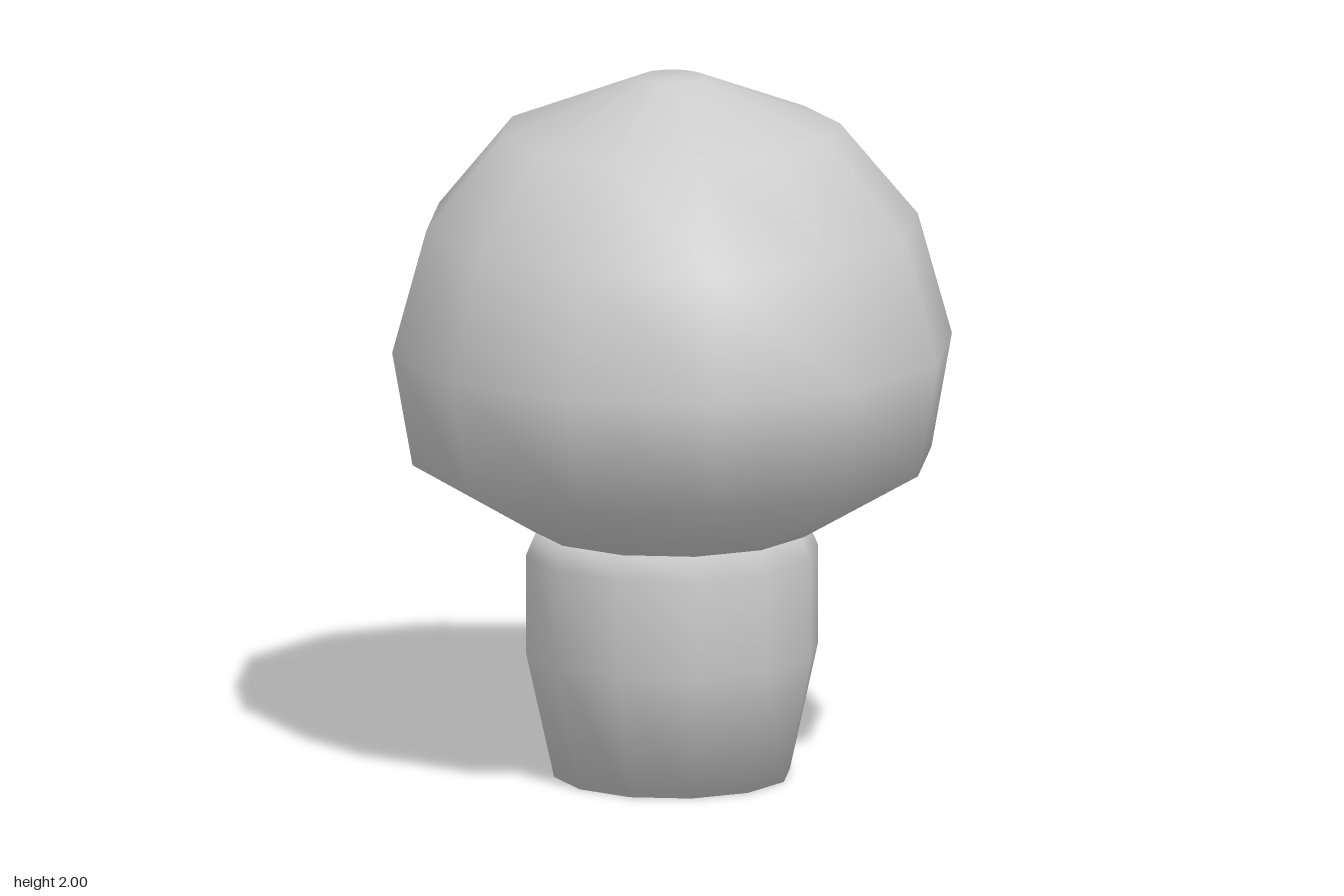
import * as THREE from 'three';

const SIDES = 12;

// Revolves a bottom-to-top [radius, height] profile into a smooth 12-sided solid
function turned(name, profile, material) {
  const points = profile.map(([r, y]) => new THREE.Vector2(r, y));
  const mesh = new THREE.Mesh(new THREE.LatheGeometry(points, SIDES), material);
  mesh.name = name;
  return mesh;
}

export function createModel() {
  const group = new THREE.Group();
  group.name = 'mushroom';
  const material = new THREE.MeshStandardMaterial({ color: 0xcccccc });

  // Stem: narrow flat foot, fuller middle, drawn in slightly under the cap
  const stem = turned('stem', [
    [0, 0], [0.335, 0], [0.415, 0.36], [0.415, 0.64], [0.38, 0.72], [0, 0.72],
  ], material);

  // Cap: rounded dome with a sloping underside and a small flat crown
  const cap = turned('cap', [
    [0, 0.708], [0.395, 0.708], [0.737, 0.91], [0.795, 1.235],
    [0.698, 1.582], [0.478, 1.848], [0.092, 2], [0, 2],
  ], material);

  group.add(stem, cap);
  return group;
}
